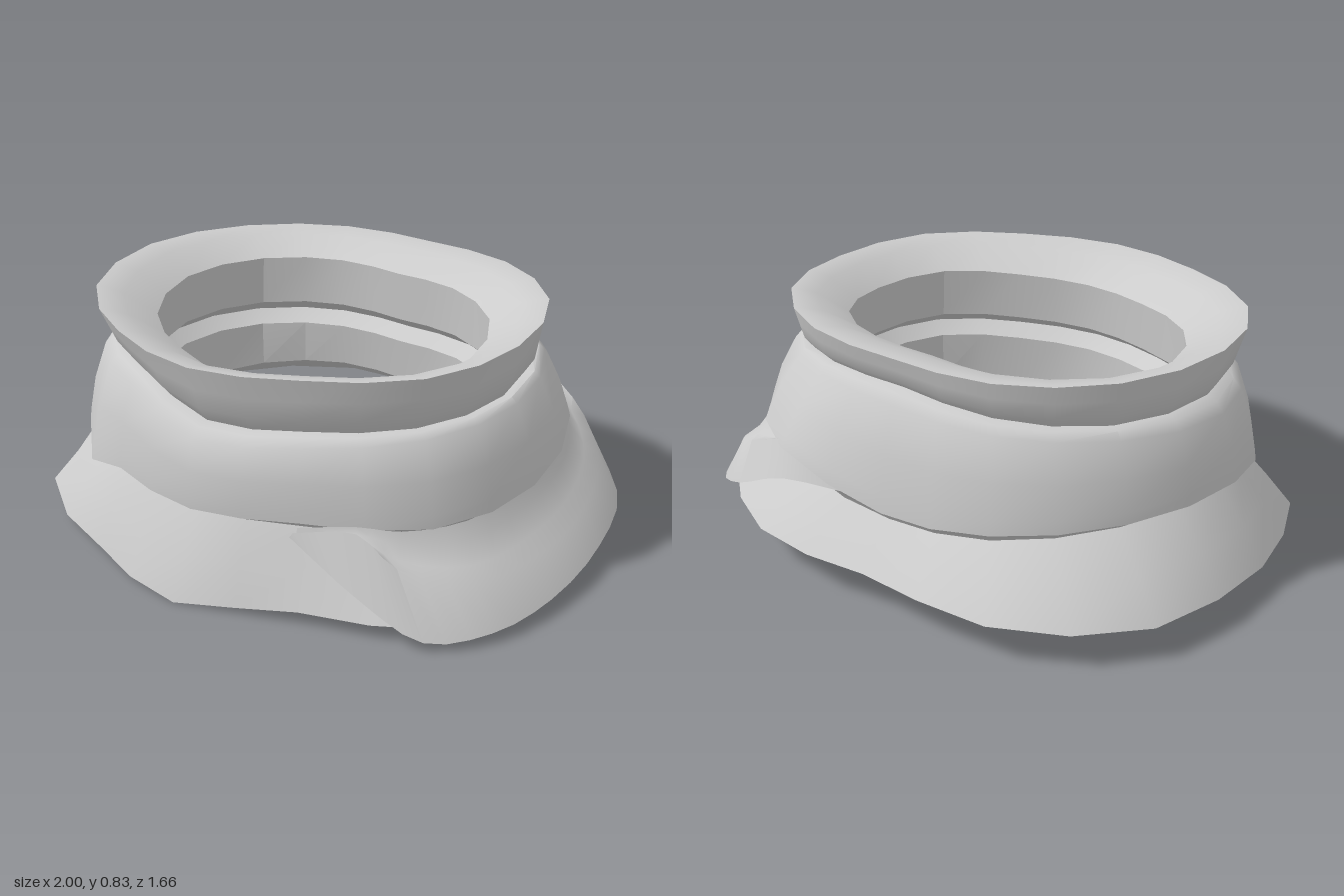
import * as THREE from 'three';
import { toCreasedNormals } from 'three/addons/utils/BufferGeometryUtils.js';

const SEG = 24;
const material = new THREE.MeshStandardMaterial({ color: 0xcccccc, side: THREE.DoubleSide });

// Smooth cyclic reading of evenly spaced values, u from 0 to 1
function cyclic(v, u) {
  const n = v.length, t = u * n, i = Math.floor(t), f = t - i;
  const [a, b, c, d] = [-1, 0, 1, 2].map(k => v[(i + k + n) % n]);
  return b + 0.5 * f * (c - a + f * (2 * a - 5 * b + 4 * c - d + f * (3 * (b - c) + d - a)));
}

// Closed ring from radii and heights; angle 0 is +x, 90 is the front, 180 is -x, 270 the back
function ring(radii, heights, tuck = 0) {
  return Array.from({ length: SEG + 1 }, (_, j) => {
    const u = (j % SEG) / SEG, a = u * Math.PI * 2;
    const fold = tuck * Math.exp(-(((u - 0.38) / 0.025) ** 2));
    const r = cyclic(radii, u) + fold * 0.4, y = cyclic(heights, u) - fold;
    return new THREE.Vector3(Math.cos(a) * r, y, Math.sin(a) * r);
  });
}

// Ring between two others, pushed outward and upward
function between(a, b, f, out = 0, up = 0) {
  return a.map((p, j) => {
    const q = p.clone().lerp(b[j], f), r = Math.hypot(q.x, q.z);
    return q.set(q.x * (1 + out / r), q.y + up, q.z * (1 + out / r));
  });
}

// Open path through a few points
const path = pts => new THREE.CatmullRomCurve3(pts.map(p => new THREE.Vector3(...p))).getPoints(27);

// Skin a stack of rows
function loft(name, rows, crease = 0.75) {
  const pos = [], idx = [], n = rows[0].length;
  rows.forEach(row => row.forEach(p => pos.push(p.x, p.y, p.z)));
  for (let i = 0; i < rows.length - 1; i++) {
    for (let j = 0; j < n - 1; j++) {
      const a = i * n + j, b = a + 1, c = a + n, d = c + 1;
      idx.push(a, c, b, b, c, d);
    }
  }
  const g = new THREE.BufferGeometry();
  g.setAttribute('position', new THREE.Float32BufferAttribute(pos, 3));
  g.setIndex(idx);
  const mesh = new THREE.Mesh(toCreasedNormals(g, crease), material);
  mesh.name = name;
  return mesh;
}

export function createModel() {
  const group = new THREE.Group();
  group.name = 'foldedNeckScarf';

  // Key rings, from the hem upward
  const hem = ring([0.975, 0.99, 0.99, 0.886, 0.8, 0.785, 0.825, 0.824, 0.84, 0.923, 1.004, 0.99,
    1.0, 1.01, 1.033, 1.005, 0.954, 0.868, 0.82, 0.865, 0.92, 0.95, 0.99, 0.985],
  [0.06, 0.05, 0.045, 0, 0.02, 0.05, 0.1, 0.12, 0.14, 0.145, 0.14, 0.11]);
  const skirtTop = ring([0.76, 0.75, 0.69, 0.695, 0.72, 0.79, 0.83, 0.8, 0.74, 0.68, 0.74, 0.75],
    [0.27, 0.27, 0.29, 0.285, 0.29, 0.29, 0.35, 0.35, 0.31, 0.28, 0.32, 0.32]);
  const skirtInner = ring([0.6, 0.59, 0.54, 0.54, 0.55, 0.61, 0.65, 0.62, 0.55, 0.48, 0.52, 0.58],
    [0.28, 0.25, 0.22, 0.21, 0.22, 0.25, 0.3, 0.32, 0.33, 0.33, 0.33, 0.31]);
  const bandBottom = ring([0.83, 0.82, 0.73, 0.725, 0.75, 0.85, 0.88, 0.84, 0.78, 0.72, 0.83, 0.84],
    [0.335, 0.315, 0.32, 0.295, 0.3, 0.31, 0.38, 0.38, 0.35, 0.32, 0.43, 0.4], 0.06);
  const bandTop = ring([0.75, 0.75, 0.7, 0.705, 0.7, 0.78, 0.82, 0.78, 0.71, 0.64, 0.68, 0.74],
    [0.6, 0.585, 0.56, 0.535, 0.6, 0.595, 0.61, 0.64, 0.66, 0.67, 0.67, 0.64]);
  const crease = ring([0.7, 0.69, 0.63, 0.63, 0.64, 0.71, 0.76, 0.73, 0.65, 0.58, 0.63, 0.69],
    [0.615, 0.6, 0.585, 0.57, 0.635, 0.63, 0.66, 0.67, 0.69, 0.71, 0.7, 0.66]);
  const rim = ring([0.745, 0.745, 0.69, 0.715, 0.73, 0.8, 0.81, 0.77, 0.7, 0.635, 0.69, 0.745],
    [0.795, 0.785, 0.78, 0.775, 0.785, 0.805, 0.828, 0.83, 0.83, 0.83, 0.83, 0.82]);
  const opening = ring([0.57, 0.56, 0.5, 0.51, 0.52, 0.59, 0.63, 0.6, 0.5, 0.43, 0.48, 0.55],
    [0.71, 0.7, 0.69, 0.68, 0.69, 0.71, 0.74, 0.75, 0.76, 0.76, 0.76, 0.74]);

  // Flared lower skirt and its sloping underside
  group.add(loft('lowerSkirt', [hem, between(hem, skirtTop, 0.5, 0.01), skirtTop]));
  group.add(loft('skirtUnderside', [skirtInner, between(skirtInner, hem, 0.5), hem]));

  // Broad middle fold with an undercut lower edge
  group.add(loft('middleBand', [
    skirtTop, between(skirtTop, bandBottom, 0.4, 0, 0.01),
    bandBottom, between(bandBottom, bandTop, 0.15, 0.005),
    between(bandBottom, bandTop, 0.55, 0.012), bandTop,
    between(bandTop, crease, 0.5, 0.005, 0.01), crease,
  ]));

  // Rolled collar
  group.add(loft('collar', [
    crease, between(crease, rim, 0.25, 0.015), between(crease, rim, 0.6, 0.008),
    rim, between(rim, opening, 0.12, 0, 0.008), between(rim, opening, 0.45, 0, 0.02), opening,
  ], 1.3));

  // Inside walls with a groove where the collar meets the band
  group.add(loft('innerWall', [
    opening, between(opening, opening, 0, 0.015, -0.18), between(opening, opening, 0, 0.075, -0.225),
    between(opening, opening, 0, 0.025, -0.27), skirtInner,
  ], 0.4));

  // Loose flap wrapped over the left side, leaving a hollow under the band
  const flapHem = path([[0.37, 0.3, 0.69], [0.62, 0.14, 0.655], [0.8, 0.035, 0.59], [0.94, 0.035, 0.42],
    [1.0, 0.05, 0.16], [0.98, 0.075, -0.2], [0.87, 0.105, -0.54], [0.63, 0.22, -0.71],
    [0.38, 0.34, -0.755], [0.1, 0.34, -0.7]]);
  const flapCrest = path([[0.38, 0.315, 0.685], [0.55, 0.325, 0.59], [0.68, 0.235, 0.56], [0.86, 0.17, 0.4],
    [0.925, 0.165, 0.08], [0.905, 0.185, -0.22], [0.81, 0.25, -0.49], [0.62, 0.36, -0.645],
    [0.37, 0.46, -0.7], [0.1, 0.44, -0.67]]);
  const flapInner = path([[0.37, 0.315, 0.65], [0.53, 0.33, 0.56], [0.64, 0.315, 0.48], [0.76, 0.31, 0.29],
    [0.8, 0.33, 0.04], [0.78, 0.36, -0.22], [0.7, 0.41, -0.42], [0.54, 0.45, -0.56],
    [0.34, 0.48, -0.62], [0.1, 0.48, -0.6]]);
  group.add(loft('sideFlap', [
    flapHem, flapCrest, between(flapCrest, flapInner, 0.4, 0, -0.025),
    between(flapCrest, flapInner, 0.8, 0, -0.02), flapInner,
  ], 0.9));

  return group;
}
